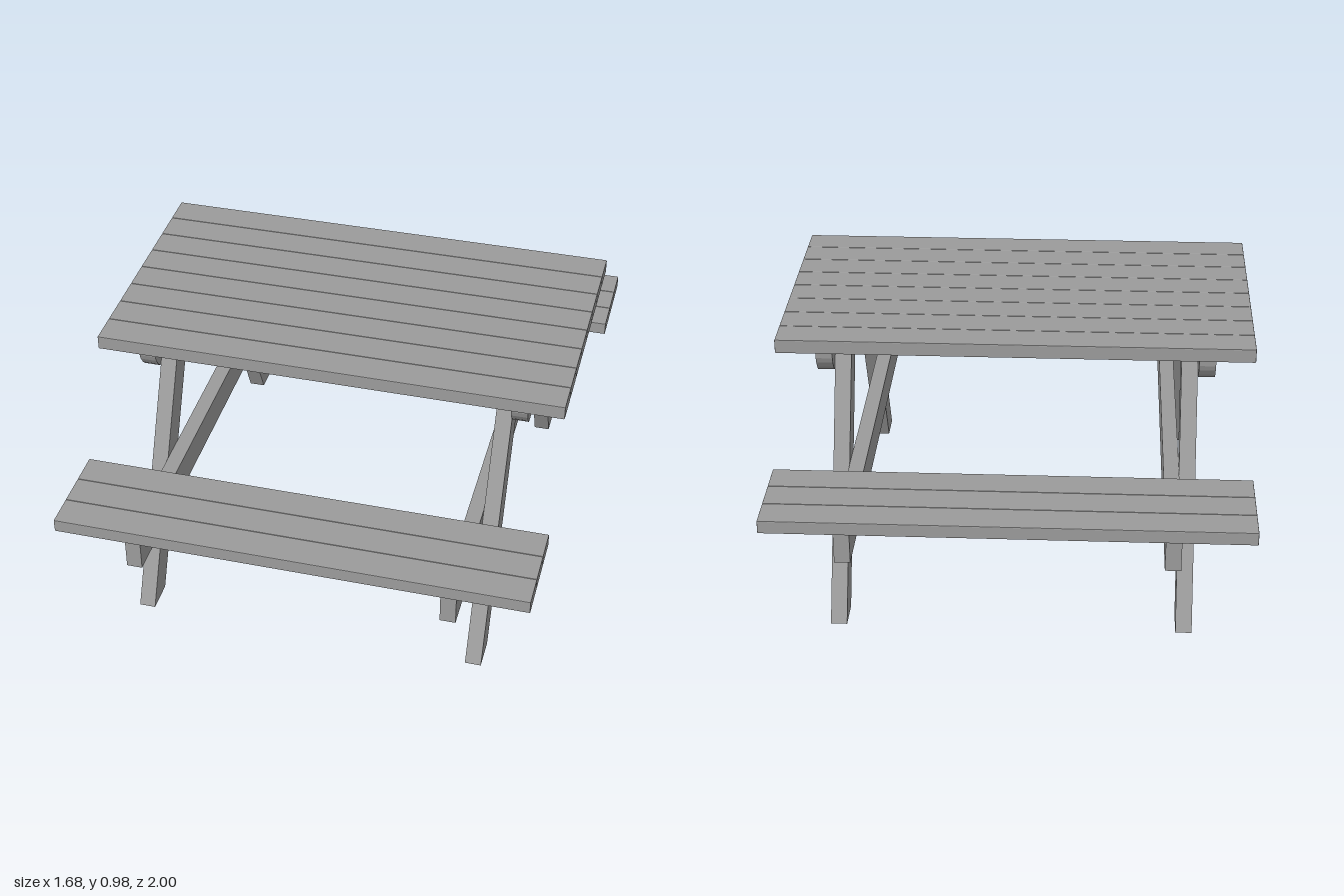
import * as THREE from 'three';
import { RoundedBoxGeometry } from 'three/addons/geometries/RoundedBoxGeometry.js';

const material = new THREE.MeshStandardMaterial({ color: 0x9b9b9b, flatShading: true });

function add(parent, name, geometry, x = 0, y = 0, z = 0) {
  const mesh = new THREE.Mesh(geometry, material);
  mesh.name = name;
  mesh.position.set(x, y, z);
  parent.add(mesh);
}

// Row of boards running along x, with fine gaps between their eased edges
function addBoards(parent, name, count, zMin, zMax, yMin, yMax) {
  const row = new THREE.Group();
  row.name = name;
  const pitch = (zMax - zMin) / count;
  const board = new RoundedBoxGeometry(1.676, yMax - yMin, pitch - 0.001, 1, 0.003);
  for (let i = 0; i < count; i++) {
    add(row, name + 'Board', board, 0, (yMin + yMax) / 2, zMin + (i + 0.5) * pitch);
  }
  parent.add(row);
}

// Side outline given as [z, y] points, extruded along x about its centre
function sidePanel(points, thickness) {
  const shape = new THREE.Shape(points.map(([z, y]) => new THREE.Vector2(z, y)));
  return new THREE.ExtrudeGeometry(shape, { depth: thickness, bevelEnabled: false })
    .translate(0, 0, -thickness / 2)
    .rotateY(-Math.PI / 2);
}

export function createModel() {
  const table = new THREE.Group();
  table.name = 'picnicTable';

  addBoards(table, 'tableTop', 8, -0.47, 0.47, 0.929, 0.98);
  addBoards(table, 'frontBench', 3, 0.648, 1, 0.517, 0.565);
  addBoards(table, 'backBench', 3, -1, -0.648, 0.517, 0.565);

  // Cleat under the top, with eased lower ends
  const end = [[0.375, 0.823], [0.394, 0.842], [0.411, 0.867], [0.418, 0.887], [0.42, 0.929]];
  const cleat = sidePanel([...end, ...end.map(([z, y]) => [-z, y]).reverse()], 0.059);

  const beam = new THREE.BoxGeometry(0.055, 0.117, 1.968);

  for (const side of [1, -1]) {
    const frame = new THREE.Group();
    frame.name = side > 0 ? 'leftFrame' : 'rightFrame';
    add(frame, 'topCleat', cleat, side * 0.6745);
    add(frame, 'benchBeam', beam, side * 0.5585, 0.4585, 0);
    // Splayed legs, front and back
    for (const s of [1, -1]) {
      const leg = sidePanel(
        [[0.65, 0], [0.765, 0], [0.323, 0.929], [0.208, 0.929]].map(([z, y]) => [s * z, y]), 0.058);
      add(frame, s > 0 ? 'frontLeg' : 'backLeg', leg, side * 0.615);
    }
    table.add(frame);
  }
  return table;
}
